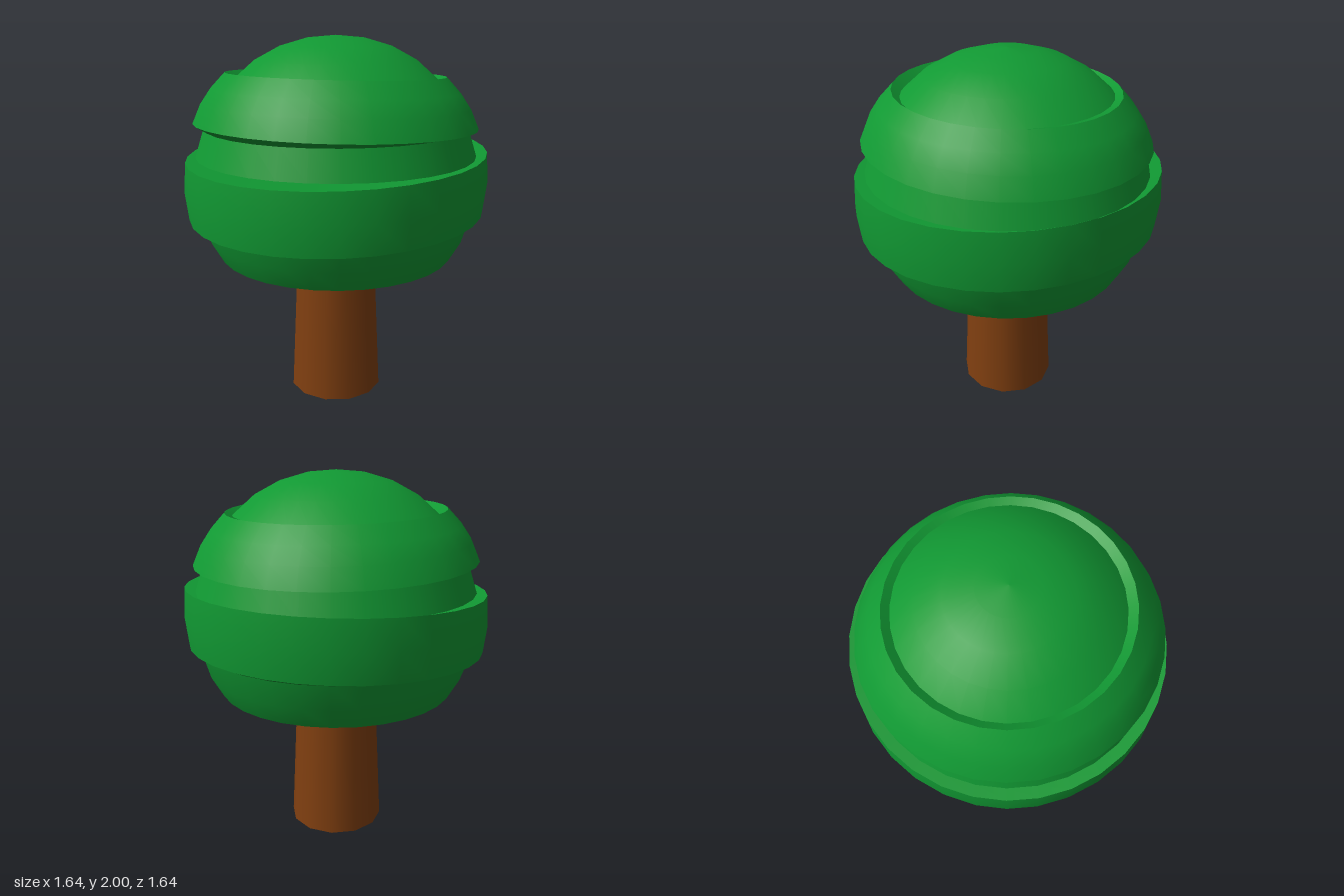
import * as THREE from 'three';

const leafGreen = new THREE.MeshStandardMaterial({ color: 0x119933 });
const barkBrown = new THREE.MeshStandardMaterial({ color: 0x803f10, side: THREE.DoubleSide });
leafGreen.name = 'leafGreen';
barkBrown.name = 'barkBrown';

// Smooth turned surface through rings of [radius, height, slope along x]
function turned(name, rings) {
  const geometry = new THREE.LatheGeometry(rings.map(([r, y]) => new THREE.Vector2(r, y)), 32);
  const pos = geometry.attributes.position;
  for (let i = 0; i < pos.count; i++) {
    const slope = rings[i % rings.length][2] || 0;
    pos.setY(i, pos.getY(i) + pos.getX(i) * slope);
  }
  const mesh = new THREE.Mesh(geometry, leafGreen);
  mesh.name = name;
  return mesh;
}

export function createModel() {
  const tree = new THREE.Group();
  tree.name = 'tree';

  // Tapered hollow trunk, open at the foot
  const trunk = new THREE.Mesh(new THREE.CylinderGeometry(0.225, 0.262, 0.77, 12, 1, true), barkBrown);
  trunk.name = 'trunk';
  trunk.position.y = 0.385;
  tree.add(trunk);

  // Slopes of the two raised bands
  const low = 0.044, high = -0.033;

  // Crown, from the underside up; each entry is one smooth strip
  const crown = new THREE.Group();
  crown.name = 'crown';
  const strips = {
    underside: [[0, 0.77], [0.48, 0.77]],
    undersideBevel: [[0.48, 0.77], [0.645, 0.828]],
    lowerCrown: [[0.645, 0.828], [0.708, 0.94], [0.748, 1.08]],
    lowerBandBottom: [[0.748, 1.08], [0.805, 1.073, low]],
    lowerBand: [[0.805, 1.073, low], [0.822, 1.225, low], [0.81, 1.385, low]],
    lowerBandTop: [[0.81, 1.385, low], [0.755, 1.38]],
    middleCrown: [[0.755, 1.38], [0.707, 1.528]],
    upperBandBottom: [[0.707, 1.528], [0.76, 1.538, high]],
    upperBand: [[0.76, 1.538, high], [0.715, 1.64, high], [0.66, 1.72, high], [0.585, 1.8, high]],
    upperBandTop: [[0.585, 1.8, high], [0.545, 1.772]],
    dome: [[0.545, 1.772], [0.43, 1.873], [0.295, 1.945], [0.15, 1.987], [0, 2]],
  };
  for (const [name, rings] of Object.entries(strips)) crown.add(turned(name, rings));
  tree.add(crown);

  return tree;
}
